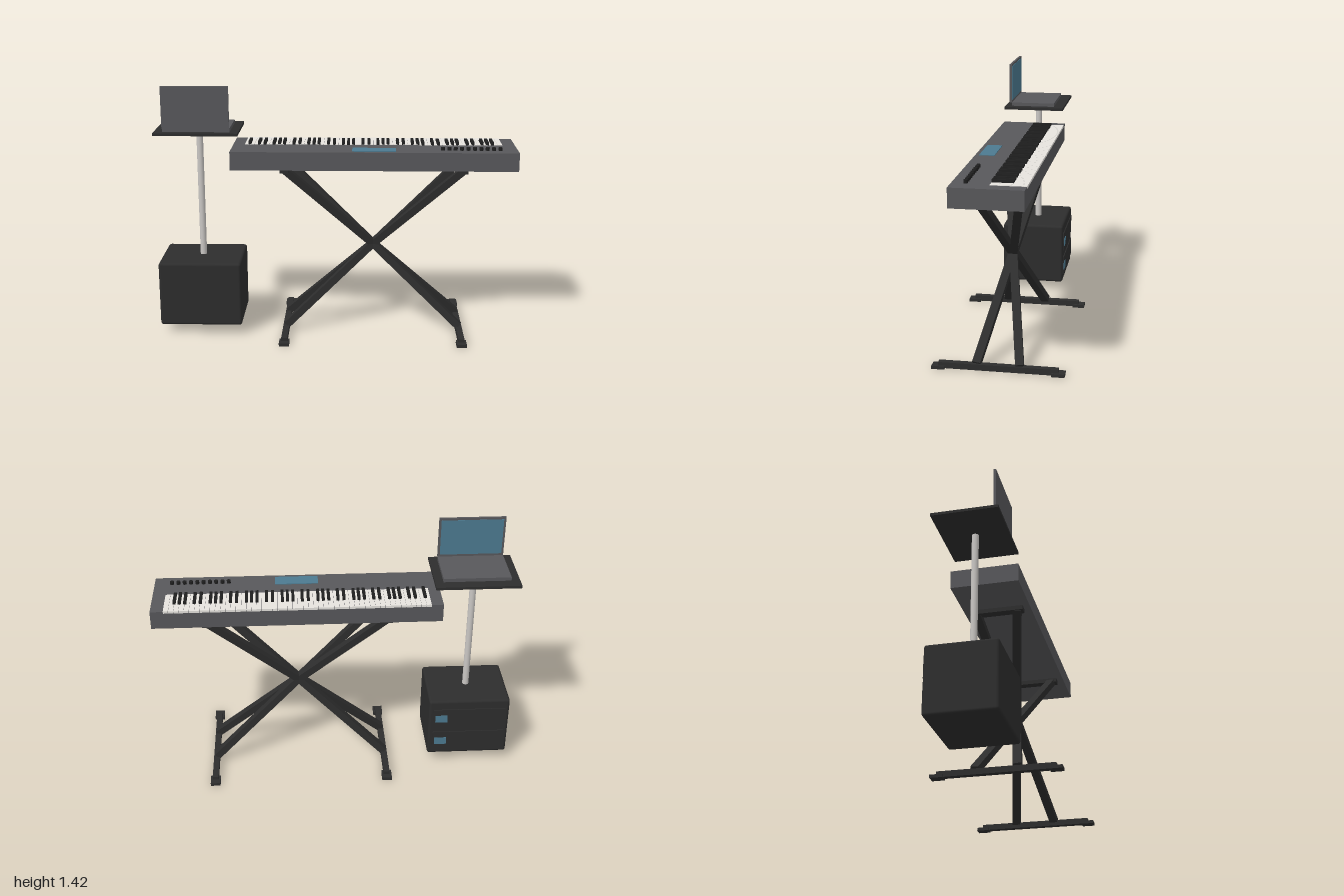
import * as THREE from 'three';
import { RoundedBoxGeometry } from 'three/addons/geometries/RoundedBoxGeometry.js';

const mat = (name, color) => {
  const m = new THREE.MeshStandardMaterial({ color });
  m.name = name;
  return m;
};

export function createModel() {
  const model = new THREE.Group();
  model.name = 'keyboardSetup';
  const grey = mat('bodyGrey', 0x58585b);
  const black = mat('standBlack', 0x2d2d2d);
  const white = mat('keyWhite', 0xe6e3de);
  const keyBlack = mat('keyBlack', 0x1f1f1f);
  const steel = mat('poleSteel', 0xc9c6c3);
  const blue = mat('displayBlue', 0x4c7a90);

  const group = (name) => {
    const g = new THREE.Group();
    g.name = name;
    model.add(g);
    return g;
  };
  const add = (parent, name, geometry, material, x, y, z) => {
    const m = new THREE.Mesh(geometry, material);
    m.name = name;
    m.position.set(x, y, z);
    parent.add(m);
    return m;
  };
  // Box given by its lower and upper limits on each axis
  const box = (parent, name, material, [x0, x1], [y0, y1], [z0, z1]) =>
    add(parent, name, new THREE.BoxGeometry(x1 - x0, y1 - y0, z1 - z0), material,
      (x0 + x1) / 2, (y0 + y1) / 2, (z0 + z1) / 2);

  // Keyboard body
  const keyboard = group('keyboard');
  box(keyboard, 'keyboardBody', grey, [-0.58, 1], [0.967, 1.07], [-0.186, 0.188]);

  // 52 white keys, starting on A; a black key follows A, C, D, F and G
  const start = -0.515, pitch = 1.445 / 52;
  const blackOffset = { 0: 0, 2: -0.002, 3: 0.003, 5: -0.002, 6: 0 };
  for (let i = 0; i < 52; i++) {
    const x = start + i * pitch;
    box(keyboard, 'whiteKey', white, [x + 0.0007, x + pitch - 0.0007], [1.06, 1.073], [-0.187, -0.006]);
    if (i % 7 in blackOffset && i < 51) {
      const c = x + pitch + blackOffset[i % 7];
      box(keyboard, 'blackKey', keyBlack, [c - 0.008, c + 0.008], [1.07, 1.087], [-0.115, -0.006]);
    }
  }

  // Display and ten knobs on the deck
  box(keyboard, 'keyboardDisplay', blue, [0.09, 0.33], [1.068, 1.074], [0.082, 0.165]);
  const knob = new THREE.CylinderGeometry(0.011, 0.011, 0.018, 16);
  for (let i = 0; i < 10; i++) add(keyboard, 'knob', knob, keyBlack, 0.588 + i * 0.035, 1.078, 0.117);

  // Crossed stand: a splayed pair of tubes along each diagonal
  const stand = group('stand');
  const cx = 0.21, half = 0.495;
  for (const sx of [-1, 1]) {
    for (const sz of [-1, 1]) {
      const a = new THREE.Vector3(cx - sx * half, 0.035, -sz * 0.115);
      const b = new THREE.Vector3(cx + sx * half, 0.955, sz * 0.115);
      const dir = b.clone().sub(a);
      const length = dir.length();
      dir.normalize();
      const side = new THREE.Vector3(0, 0, 1).addScaledVector(dir, -dir.z).normalize();
      const leg = add(stand, 'standLeg', new THREE.BoxGeometry(0.04, length, 0.045), black, 0, 0, 0);
      leg.quaternion.setFromRotationMatrix(
        new THREE.Matrix4().makeBasis(dir.clone().cross(side), dir, side));
      leg.position.copy(a).add(b).multiplyScalar(0.5);
    }
    // Top support, floor bar and end pads
    const x = cx + sx * half;
    box(stand, 'topSupport', black, [x - 0.025, x + 0.025], [0.942, 0.967], [-0.15, 0.15]);
    box(stand, 'footBar', black, [x - 0.017, x + 0.017], [0.004, 0.037], [-0.32, 0.32]);
    for (const sz of [-1, 1]) {
      add(stand, 'footPad', new THREE.BoxGeometry(0.056, 0.018, 0.07), black, x, 0.009, sz * 0.319);
    }
  }

  // Equipment case with two units on its back
  const rack = group('rack');
  add(rack, 'rackCase', new RoundedBoxGeometry(0.465, 0.37, 0.374, 3, 0.015), black, -0.7675, 0.24, 0.001);
  for (const y of [0.155, 0.312]) {
    box(rack, 'rackUnit', black, [-0.975, -0.56], [y - 0.053, y + 0.057], [-0.191, -0.18]);
    box(rack, 'rackDisplay', blue, [-0.642, -0.572], [y - 0.028, y + 0.018], [-0.194, -0.188]);
  }

  // Pole and tray
  add(rack, 'pole', new THREE.CylinderGeometry(0.0185, 0.0185, 0.74, 24), steel, -0.7675, 0.79, 0);
  box(rack, 'tray', black, [-1, -0.535], [1.155, 1.17], [-0.177, 0.179]);

  // Open laptop facing the back
  const laptop = group('laptop');
  box(laptop, 'laptopBase', grey, [-0.952, -0.582], [1.17, 1.19], [-0.117, 0.142]);
  box(laptop, 'laptopLid', grey, [-0.952, -0.582], [1.19, 1.424], [0.142, 0.155]);
  box(laptop, 'laptopScreen', blue, [-0.94, -0.594], [1.203, 1.412], [0.14, 0.144]);

  return model;
}
